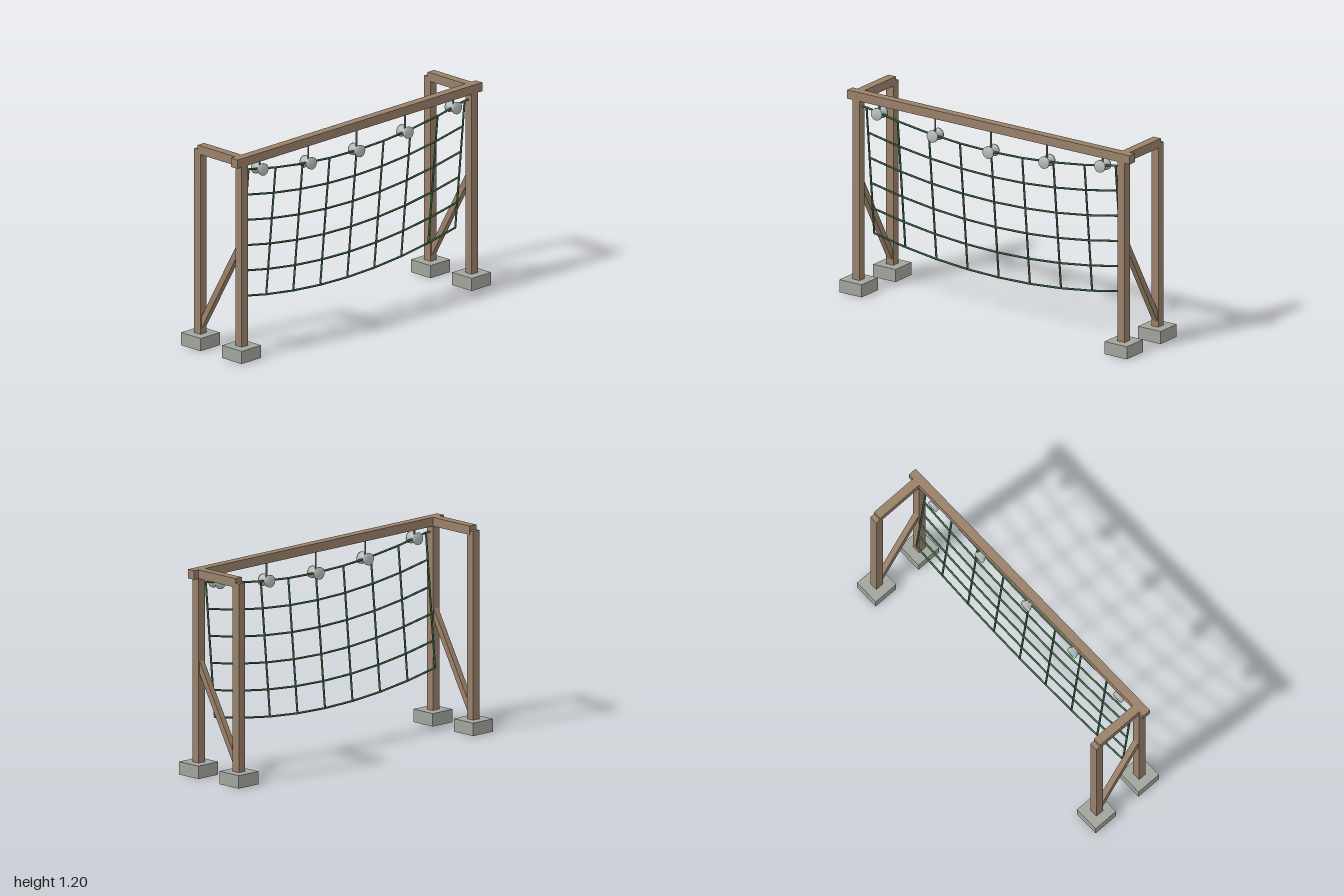
import * as THREE from 'three';

const mat = (name, color, side = THREE.FrontSide) => {
  const m = new THREE.MeshStandardMaterial({ color, side });
  m.name = name;
  return m;
};

export function createModel() {
  const wood = mat('wood', 0x988169);
  const concrete = mat('concrete', 0xa2a59d);
  const rope = mat('green rope', 0x3f6b4a);
  const steel = mat('steel', 0xb8c2be);
  const rod = mat('rod grey', 0x8b8782);
  const model = new THREE.Group();
  model.name = 'netFrame';

  const add = (name, geo, material, x = 0, y = 0, z = 0, parent = model) => {
    const mesh = new THREE.Mesh(geo, material);
    mesh.name = name;
    mesh.position.set(x, y, z);
    parent.add(mesh);
    return mesh;
  };
  const box = (name, m, w, h, d, x, y, z) => add(name, new THREE.BoxGeometry(w, h, d), m, x, y, z);

  // Straight round bar between two points
  const up = new THREE.Vector3(0, 1, 0);
  const bar = (name, a, b, r, m, parent = model) => {
    const dir = b.clone().sub(a);
    const mesh = add(name, new THREE.CylinderGeometry(r, r, dir.length(), 6), m, 0, 0, 0, parent);
    mesh.position.copy(a).lerp(b, 0.5);
    mesh.quaternion.setFromUnitVectors(up, dir.normalize());
  };

  const zf = 0.164, zb = -0.163, px = 0.922;

  // Posts, footings, side beams and diagonal braces
  for (const s of [-1, 1]) {
    const x = s * px;
    box('frontFooting', concrete, 0.156, 0.075, 0.156, x, 0.0375, zf);
    box('rearFooting', concrete, 0.156, 0.075, 0.156, x, 0.0375, zb);
    box('frontPost', wood, 0.05, 1.085, 0.05, x, 0.6125, zf);
    box('rearPost', wood, 0.05, 1.1, 0.05, x, 0.62, zb);
    box('sideBeam', wood, 0.052, 0.052, 0.324, x, 1.171, 0.002);
    const dy = 0.562, dz = 0.32;
    const brace = box('brace', wood, 0.035, Math.hypot(dy, dz), 0.035, x, 0.388, 0.0015);
    brace.rotation.x = Math.atan2(dz, dy);
  }
  box('topBeam', wood, 1.964, 0.052, 0.052, 0, 1.171, zf);

  // Net: sagging rows, leaning back towards the bottom
  const net = new THREE.Group();
  net.name = 'net';
  model.add(net);
  const halfW = 0.866, cols = 8, rows = 5;
  const sag = x => 1.018 + 0.091 * (x / halfW) ** 2;
  const knot = (i, j) => {
    const x = -halfW + (2 * halfW * i) / cols, t = j / rows;
    return new THREE.Vector3(x, sag(x) - 0.772 * t, zf - 0.074 * t);
  };
  for (let j = 0; j <= rows; j++)
    for (let i = 0; i < cols; i++) bar('rowRope', knot(i, j), knot(i + 1, j), 0.006, rope, net);
  for (let i = 0; i <= cols; i++) bar('columnRope', knot(i, 0), knot(i, rows), 0.006, rope, net);

  // Short ties from the net's top corners to the posts
  for (const i of [0, cols]) {
    const a = knot(i, 0), b = a.clone();
    b.x = Math.sign(a.x) * 0.905;
    bar('cornerTie', a, b, 0.005, rod);
  }

  // Grooved pulleys hanging from the top beam
  const profile = [[0, -0.035], [0.035, -0.035], [0.035, -0.021], [0.02, 0],
    [0.035, 0.021], [0.035, 0.035], [0, 0.035]].map(p => new THREE.Vector2(...p));
  const pulleyGeo = new THREE.LatheGeometry(profile, 20).rotateX(Math.PI / 2);
  for (const x of [-0.776, -0.388, 0, 0.388, 0.776]) {
    const y = sag(x) + 0.002;
    add('pulley', pulleyGeo, steel, x, y, zf);
    bar('hangerRod', new THREE.Vector3(x, y, zf), new THREE.Vector3(x, 1.15, zf), 0.005, rod);
  }
  return model;
}
